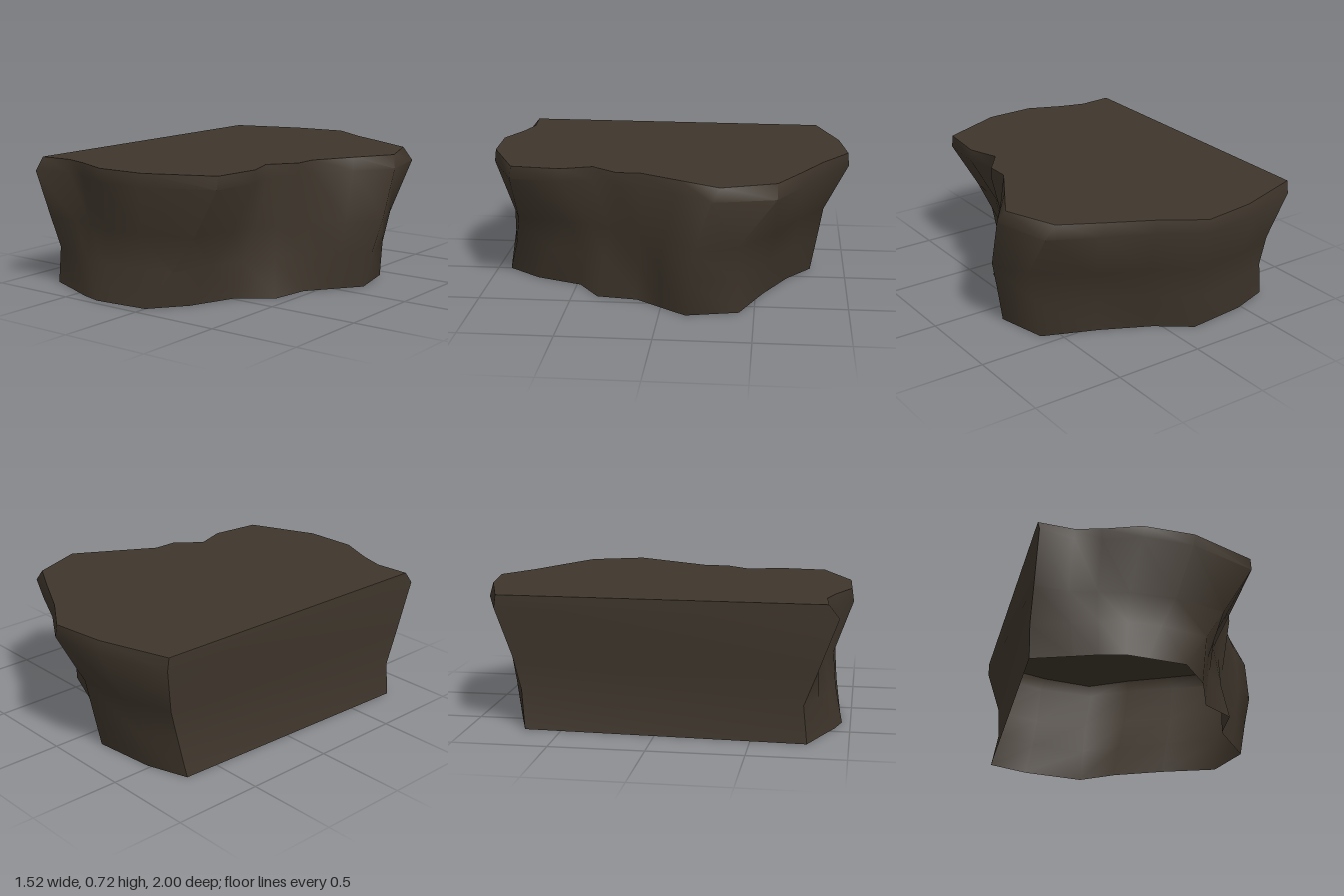
import * as THREE from 'three';
import { toCreasedNormals } from 'three/addons/utils/BufferGeometryUtils.js';

// Outlines of the rock as x, z pairs, starting at the back corner of the flat wall
const rim = { y: 0.72, outline: [
  -0.73, -0.83, -0.35, -0.955, -0.05, -0.995, 0.17, -0.85, 0.4, -0.73, 0.62, -0.61,
  0.73, -0.32, 0.605, -0.105, 0.48, 0.11, 0.48, 0.24, 0.37, 0.38, 0.43, 0.55,
  0.4, 0.82, 0.04, 0.98, -0.24, 0.99, -0.43, 0.91, -0.57, 0.87, -0.76, 0.885] };
const lip = { y: 0.65, outline: [
  -0.73, -0.84, -0.37, -0.97, -0.04, -1, 0.18, -0.86, 0.43, -0.74, 0.68, -0.61,
  0.76, -0.28, 0.62, -0.085, 0.48, 0.11, 0.48, 0.24, 0.38, 0.38, 0.43, 0.55,
  0.4, 0.83, 0.03, 0.99, -0.24, 1, -0.43, 0.92, -0.57, 0.88, -0.76, 0.94] };
const waist = { y: 0.38, outline: [
  -0.665, -0.765, -0.41, -0.85, -0.1, -0.87, 0.12, -0.73, 0.38, -0.61, 0.66, -0.41,
  0.745, -0.19, 0.62, -0.02, 0.47, 0.12, 0.39, 0.29, 0.32, 0.41, 0.28, 0.55,
  0.24, 0.82, -0.04, 0.9, -0.28, 0.9, -0.44, 0.86, -0.58, 0.83, -0.76, 0.84] };
const skirt = { y: 0.2, outline: [
  -0.665, -0.72, -0.44, -0.81, -0.12, -0.84, 0.08, -0.7, 0.34, -0.57, 0.615, -0.41,
  0.7, -0.16, 0.59, 0, 0.46, 0.13, 0.39, 0.32, 0.28, 0.45, 0.21, 0.64,
  0.13, 0.86, -0.12, 0.915, -0.3, 0.915, -0.44, 0.89, -0.57, 0.84, -0.76, 0.77] };
const base = { y: 0, outline: [
  -0.705, -0.695, -0.48, -0.77, -0.14, -0.805, 0.04, -0.67, 0.3, -0.54, 0.595, -0.42,
  0.66, -0.14, 0.555, 0, 0.45, 0.14, 0.42, 0.36, 0.245, 0.48, 0.145, 0.74,
  0, 0.925, -0.2, 0.945, -0.315, 0.955, -0.44, 0.92, -0.56, 0.87, -0.76, 0.79] };

// Open skin joining the outlines from top to bottom
function loft(levels) {
  const n = levels[0].outline.length / 2;
  const positions = [];
  const index = [];
  levels.forEach(({ y, outline }) => {
    for (let i = 0; i < n; i++) positions.push(outline[2 * i], y, outline[2 * i + 1]);
  });
  for (let r = 0; r < levels.length - 1; r++) {
    for (let i = 0; i < n; i++) {
      const j = (i + 1) % n;
      const a = r * n + i, b = r * n + j, c = a + n, d = b + n;
      index.push(a, b, c, b, d, c);
    }
  }
  const geometry = new THREE.BufferGeometry();
  geometry.setAttribute('position', new THREE.Float32BufferAttribute(positions, 3));
  geometry.setIndex(index);
  return toCreasedNormals(geometry, 1.05);
}

// Flat lid filling one outline
function lid({ y, outline }) {
  const points = [];
  for (let i = 0; i < outline.length; i += 2) points.push(new THREE.Vector2(outline[i], -outline[i + 1]));
  const geometry = new THREE.ShapeGeometry(new THREE.Shape(points));
  return geometry.rotateX(-Math.PI / 2).translate(0, y, 0);
}

export function createModel() {
  const stone = new THREE.MeshStandardMaterial({ color: 0x3f362c, side: THREE.DoubleSide });
  stone.name = 'dark brown stone';

  const model = new THREE.Group();
  model.name = 'flatToppedRock';

  // The rock is hollow and open underneath
  const sides = new THREE.Mesh(loft([rim, lip, waist, skirt, base]), stone);
  sides.name = 'rockSides';
  const top = new THREE.Mesh(lid(rim), stone);
  top.name = 'rockTop';
  model.add(sides, top);
  return model;
}
